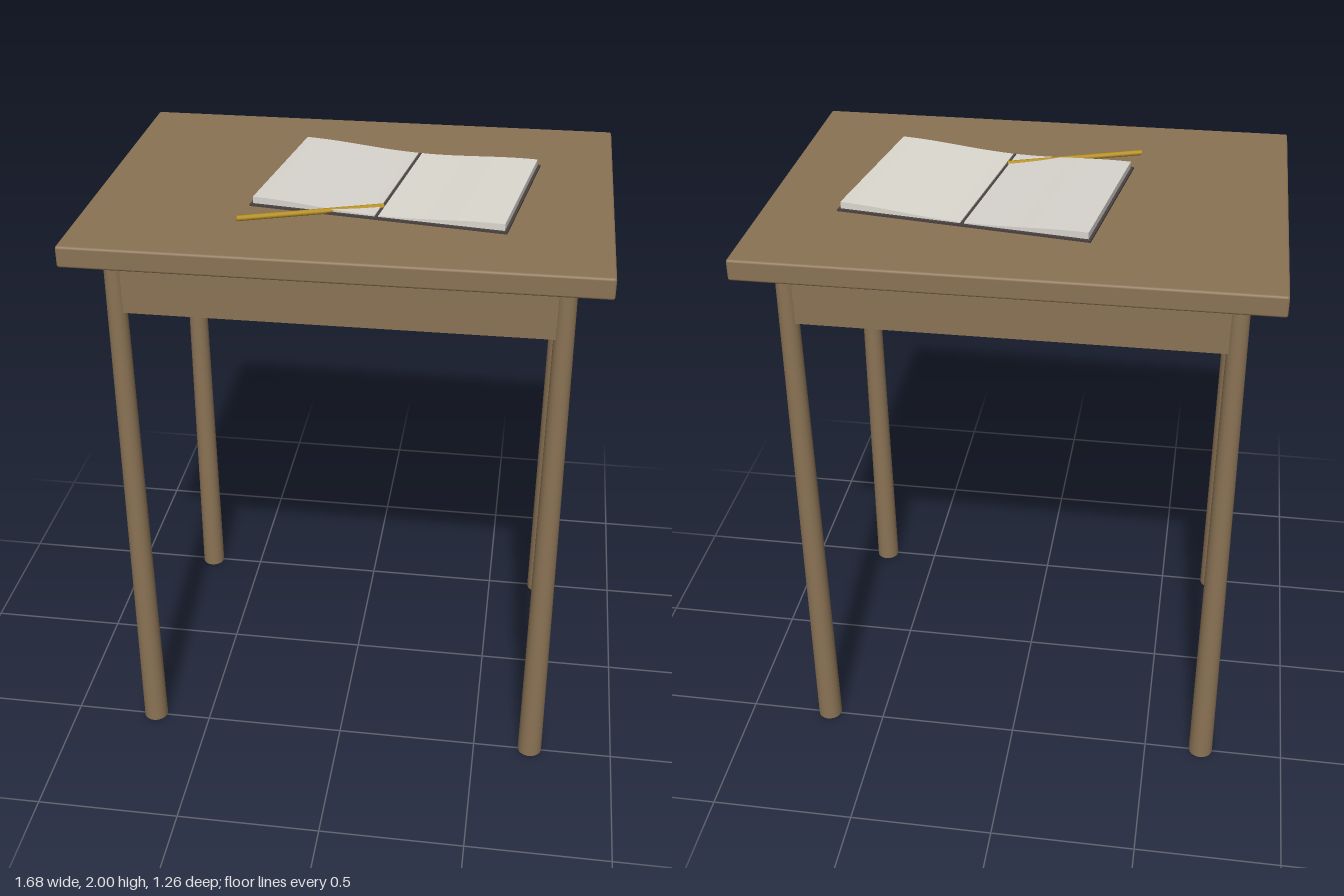
import * as THREE from 'three';
import { RoundedBoxGeometry } from 'three/addons/geometries/RoundedBoxGeometry.js';

const material = (name, color) => {
  const m = new THREE.MeshStandardMaterial({ color });
  m.name = name;
  return m;
};

const wood = material('wood', 0x8b7355);
const coverDark = material('dark cover', 0x4a4240);
const leftPaper = material('left paper', 0xd8d4ce);
const rightPaper = material('right paper', 0xdcd9d0);
const gold = material('gold', 0xb8901c);

function add(parent, name, geometry, mat, x = 0, y = 0, z = 0) {
  const mesh = new THREE.Mesh(geometry, mat);
  mesh.name = name;
  mesh.position.set(x, y, z);
  parent.add(mesh);
  return mesh;
}

// Block of pages, thin at the spine and thicker towards the outer edge
function pageBlock(side) {
  const inner = 0.006, width = 0.404, base = 1.975;
  const g = new THREE.BoxGeometry(width, 1, 0.58, 16, 1, 1);
  const p = g.attributes.position;
  for (let i = 0; i < p.count; i++) {
    const x = p.getX(i) + side * (inner + width / 2);
    const u = (Math.abs(x) - inner) / width;
    const top = 1.981 + 0.018 * (1 - Math.cos(Math.PI * u)) / 2;
    p.setXY(i, x, p.getY(i) > 0 ? top : base);
  }
  g.computeVertexNormals();
  return g;
}

export function createModel() {
  const model = new THREE.Group();
  model.name = 'desk';

  // Table top with softened edges
  add(model, 'tableTop', new RoundedBoxGeometry(1.68, 0.07, 1.26, 2, 0.008), wood, 0, 1.935, 0);

  // Tapered round legs
  const leg = new THREE.CylinderGeometry(0.031, 0.043, 1.905, 24);
  for (const x of [-0.705, 0.705]) {
    for (const z of [-0.495, 0.495]) add(model, 'leg', leg, wood, x, 0.9525, z);
  }

  // Apron rails between the legs
  const rail = 0.03, railHeight = 0.191, railY = 1.7975;
  for (const s of [-1, 1]) {
    add(model, 'longRail', new THREE.BoxGeometry(1.41, railHeight, rail), wood, 0, railY, s * 0.5);
    add(model, 'shortRail', new THREE.BoxGeometry(rail, railHeight, 0.98), wood, s * 0.71, railY, 0);
  }

  // Open notebook, turned slightly on the desk
  const notebook = new THREE.Group();
  notebook.name = 'notebook';
  notebook.position.set(0.1375, 0, -0.003);
  notebook.rotation.y = -0.141;
  add(notebook, 'cover', new THREE.BoxGeometry(0.838, 0.008, 0.6), coverDark, 0, 1.973, 0);
  add(notebook, 'leftPages', pageBlock(-1), leftPaper);
  add(notebook, 'rightPages', pageBlock(1), rightPaper);
  model.add(notebook);

  // Pencil lying partly under the raised pages
  const start = new THREE.Vector3(-0.335, 1.979, 0.362);
  const end = new THREE.Vector3(0.11, 1.979, 0.2);
  const pencil = add(model, 'pencil',
    new THREE.CylinderGeometry(0.009, 0.009, start.distanceTo(end), 8), gold);
  pencil.position.lerpVectors(start, end, 0.5);
  pencil.quaternion.setFromUnitVectors(new THREE.Vector3(0, 1, 0), end.clone().sub(start).normalize());

  return model;
}
